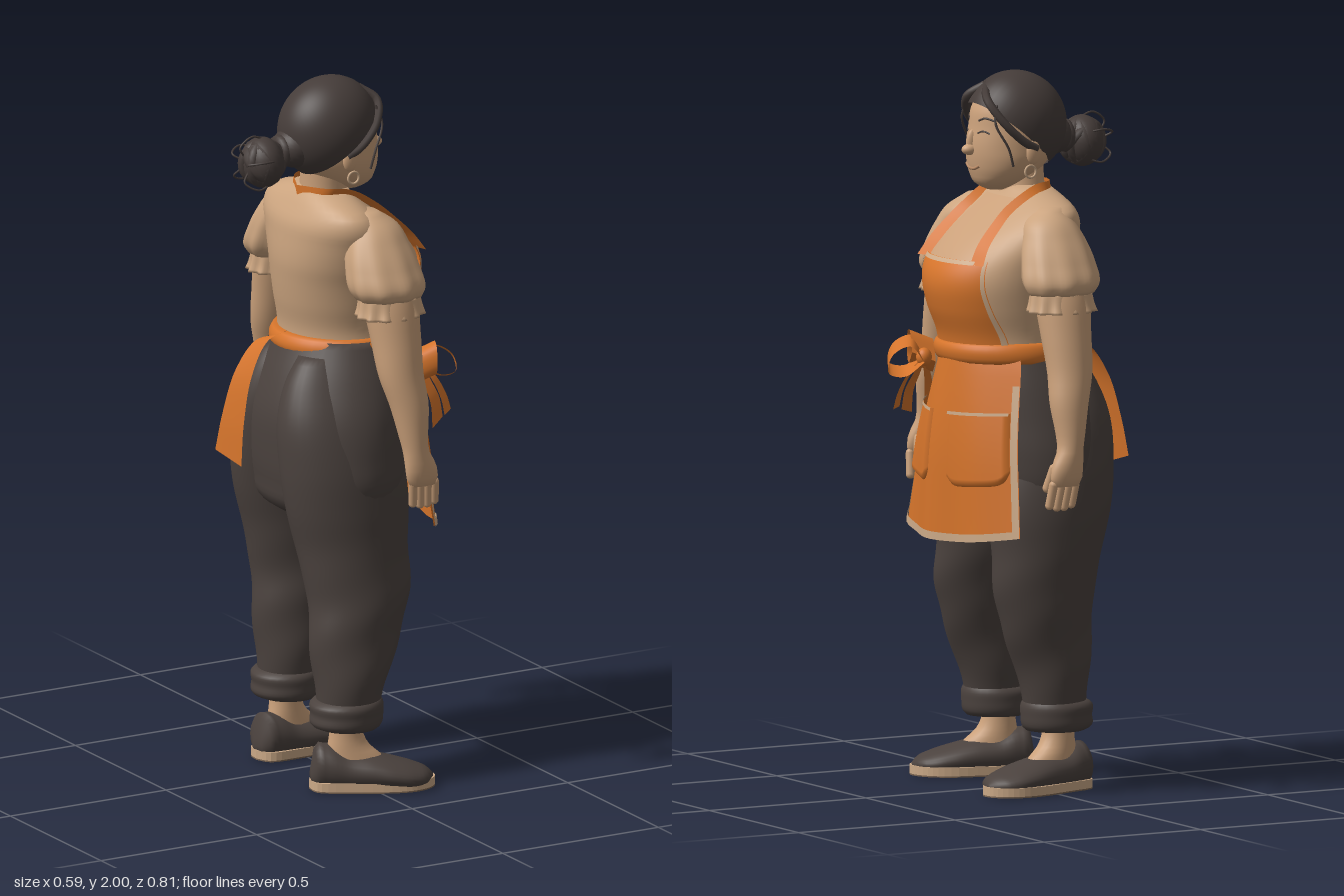
import * as THREE from 'three';

const M = (name, color, side = THREE.FrontSide) => {
  const m = new THREE.MeshStandardMaterial({ color, side });
  m.name = name;
  return m;
};
const V = (x, y, z) => new THREE.Vector3(x, y, z);
const lerp = THREE.MathUtils.lerp;

// Smooth cross-sections: each ring is [y, xBack, xFront, zCentre, zHalf], listed bottom to top
function section(rings) {
  const f = new THREE.CubicInterpolant(rings.map(r => r[0]), rings.flatMap(r => r.slice(1)), 4);
  return y => {
    const [a, b, cz, rz] = f.evaluate(y);
    return { cx: (a + b) / 2, rx: (b - a) / 2, cz, rz };
  };
}

// x of the front surface of a section at height y and depth z
function frontX(f, y, z) {
  const s = f(y), k = (z - s.cz) / s.rz;
  return s.cx + s.rx * Math.sqrt(Math.max(0, 1 - k * k));
}

function indexed(pos, idx) {
  const g = new THREE.BufferGeometry();
  g.setAttribute('position', new THREE.Float32BufferAttribute(pos, 3));
  g.setIndex(idx);
  g.computeVertexNormals();
  return g;
}

// Closed elliptical loft through the rings; ripple(y, angle) scales the radius
function loft(rings, rows = 28, seg = 32, ripple = () => 1) {
  const f = section(rings), y0 = rings[0][0], y1 = rings[rings.length - 1][0];
  const pos = [], idx = [];
  for (let i = 0; i <= rows; i++) {
    const y = lerp(y0, y1, i / rows), s = f(y);
    for (let j = 0; j < seg; j++) {
      const t = j / seg * Math.PI * 2, k = ripple(y, t);
      pos.push(s.cx + s.rx * k * Math.cos(t), y, s.cz + s.rz * k * Math.sin(t));
    }
  }
  const lo = pos.length / 3, a = f(y0);
  pos.push(a.cx, y0, a.cz);
  const b = f(y1);
  pos.push(b.cx, y1, b.cz);
  for (let j = 0; j < seg; j++) {
    const n = (j + 1) % seg, top = rows * seg;
    for (let i = 0; i < rows; i++) {
      const p = i * seg + j, q = i * seg + n;
      idx.push(p, p + seg, q, q, p + seg, q + seg);
    }
    idx.push(lo, j, n, lo + 1, top + n, top + j);
  }
  return indexed(pos, idx);
}

// Open sheet from a rule fn(u, v), both running 0..1
function sheet(fn, nu = 16, nv = 16) {
  const pos = [], idx = [];
  for (let i = 0; i <= nv; i++) for (let j = 0; j <= nu; j++) pos.push(...fn(j / nu, i / nv).toArray());
  for (let i = 0; i < nv; i++) for (let j = 0; j < nu; j++) {
    const a = i * (nu + 1) + j, c = a + nu + 1;
    idx.push(a, c, a + 1, a + 1, c, c + 1);
  }
  return indexed(pos, idx);
}

// Flat ribbon along a curve, its half-width vector running from w0 to w1
function ribbon(pts, w0, w1 = w0) {
  const c = new THREE.CatmullRomCurve3(pts);
  return sheet((u, v) => c.getPoint(v).addScaledVector(w0.clone().lerp(w1, v), u * 2 - 1), 2, 28);
}
const tube = (pts, r) => new THREE.TubeGeometry(new THREE.CatmullRomCurve3(pts), 20, r, 7);

export function createModel() {
  const model = new THREE.Group();
  const skin = M('skin', 0xcaa07a), blouse = M('blouse', 0xcba47f), chestSkin = M('chest skin', 0xcaa07a, 2);
  const orange = M('orange cloth', 0xd5742b, 2), trim = M('pale trim', 0xcba987, 2);
  const dark = M('dark trousers', 0x4b423e), hair = M('hair', 0x453c39, 2), outsole = M('outsole', 0x7a6451);
  const lip = M('lips', 0xb88a66);
  const add = (geo, mat, name, parent = model) => {
    const m = new THREE.Mesh(geo, mat);
    m.name = name;
    parent.add(m);
    return m;
  };
  const ball = (x, y, z, a, b, c, mat, name) => {
    const m = add(new THREE.SphereGeometry(1, 24, 18), mat, name);
    m.position.set(x, y, z);
    m.scale.set(a, b, c);
    return m;
  };

  // Torso, neck and bare chest
  const torsoRings = [[1.18, -.11, .23, -.01, .195], [1.28, -.105, .24, -.015, .182], [1.36, -.12, .268, -.01, .196],
    [1.43, -.13, .278, -.005, .21], [1.48, -.135, .262, 0, .222], [1.55, -.132, .2, 0, .238], [1.6, -.125, .14, 0, .244],
    [1.64, -.105, .09, .003, .218], [1.665, -.09, .065, .01, .155], [1.69, -.07, .05, .015, .08]];
  const torso = section(torsoRings);
  add(loft(torsoRings, 36, 40), blouse, 'blouse');
  add(loft([[1.62, -.075, .075, .015, .085], [1.68, -.07, .06, .02, .076], [1.77, -.07, .06, .03, .075]], 10), skin, 'neck');
  add(sheet((u, v) => {
    const y = lerp(1.49, 1.66, v), z = lerp(-.125, .105, u) * (1 - .2 * v);
    return V(frontX(torso, y, z) + .004, y, z);
  }), chestSkin, 'chest');

  // Trousers: hips, legs that run up into the seat, rolled cuffs
  add(loft([[.74, -.1, .1, 0, .15], [.78, -.16, .17, .005, .235], [.85, -.18, .2, .005, .277], [.95, -.19, .212, 0, .282],
    [1.05, -.188, .22, 0, .266], [1.15, -.16, .222, -.005, .235], [1.26, -.11, .21, -.01, .188]], 30, 40), dark, 'hips');
  const legs = [
    [[.2, -.125, .045, .215, .082], [.26, -.13, .055, .215, .09], [.35, -.142, .09, .21, .101], [.45, -.145, .13, .2, .106],
      [.55, -.142, .162, .185, .116], [.68, -.162, .17, .158, .128], [.8, -.187, .178, .147, .135], [.92, -.2, .165, .135, .136],
      [1.05, -.198, .13, .118, .118], [1.15, -.165, .1, .1, .09], [1.22, -.12, .06, .09, .06]],
    [[.2, -.11, .055, -.135, .082], [.26, -.115, .065, -.135, .09], [.35, -.125, .09, -.136, .1], [.45, -.13, .13, -.14, .106],
      [.55, -.13, .16, -.148, .114], [.68, -.155, .17, -.15, .126], [.8, -.185, .178, -.147, .135], [.92, -.2, .165, -.135, .136],
      [1.05, -.198, .13, -.118, .118], [1.15, -.165, .1, -.1, .09], [1.22, -.12, .06, -.09, .06]],
  ];
  legs.forEach((r, i) => {
    const [, b, f, cz, rz] = r[0];
    add(loft(r, 52, 36, (y, t) => 1 + .018 * Math.sin(y * 34 + t * 2) * THREE.MathUtils.clamp((.75 - y) / .25, 0, 1)), dark, 'trouserLeg');
    add(loft([[.172, b, f, cz, rz], [.18, b - .018, f + .008, cz, rz + .01], [.215, b - .022, f + .014, cz, rz + .016],
      [.248, b - .02, f + .012, cz, rz + .013], [.258, b, f + .005, cz, rz]], 12), dark, 'cuff');

    // Foot: ankle, slip-on upper, pale sole
    const foot = new THREE.Group();
    foot.name = 'foot';
    foot.position.set(i ? -.035 : -.055, 0, i ? -.135 : .235);
    foot.rotation.y = i ? .14 : -.4;
    model.add(foot);
    add(loft([[.04, -.07, .12, 0, .05], [.09, -.062, .1, 0, .047], [.125, -.055, .062, 0, .044],
      [.16, -.05, .045, 0, .042], [.24, -.05, .045, 0, .045]], 14, 24), skin, 'ankle', foot);
    const upper = loft([[-.102, -.06, -.02, 0, .02], [-.094, -.11, -.01, 0, .042], [-.06, -.13, 0, 0, .058], [0, -.108, 0, 0, .068],
      [.07, -.1, 0, .002, .08], [.13, -.085, 0, .004, .085], [.19, -.066, 0, .004, .074], [.225, -.05, -.01, .002, .046],
      [.24, -.035, -.015, 0, .012]], 30, 28);
    upper.rotateZ(-Math.PI / 2);
    add(upper, dark, 'shoe', foot);
    const outline = new THREE.Shape(new THREE.SplineCurve([[-.106, 0], [-.085, .048], [0, .066], [.12, .085], [.195, .07], [.24, .025],
      [.24, -.025], [.195, -.066], [.12, -.078], [0, -.066], [-.085, -.048], [-.106, 0]].map(p => new THREE.Vector2(...p))).getPoints(48));
    [[.024, .005, trim, 'sole'], [.004, .001, outsole, 'outsole']].forEach(([depth, y, mat, name]) => {
      const g = new THREE.ExtrudeGeometry(outline, { depth, bevelEnabled: false });
      g.rotateX(-Math.PI / 2).translate(0, y, 0);
      add(g, mat, name, foot);
    });
  });

  // Arms with hands, puffed sleeves with ruffled hems
  for (const s of [1, -1]) {
    const d = s > 0 ? 0 : -.03;
    const arm = rings => rings.map(([y, b, f, cz, rz]) => [y, b + d, f + d, s * cz, rz]);
    add(loft(arm([[.89, .066, .146, .378, .016], [.91, .056, .152, .378, .023], [.95, .052, .145, .376, .029], [.99, .05, .125, .37, .034],
      [1.03, .042, .125, .364, .039], [1.12, .022, .135, .348, .049], [1.2, 0, .13, .328, .056], [1.3, -.01, .135, .303, .064],
      [1.42, -.02, .14, .27, .07], [1.55, -.01, .13, .22, .06]])), skin, 'arm');
    for (let i = 0; i < 4; i++) {
      const finger = add(new THREE.CapsuleGeometry(.0125, .06, 4, 10), skin, 'finger');
      finger.position.set(.078 + i * .023 + d, .866 - (i % 3 ? .006 : 0), s * .37);
      finger.rotation.set(s * .2, 0, .1);
    }
    const thumb = add(new THREE.CapsuleGeometry(.014, .06, 4, 10), skin, 'thumb');
    thumb.position.set(.135 + d, .91, s * .345);
    thumb.rotation.set(s * .3, 0, .2);
    add(loft(arm([[1.415, -.035, .155, .27, .072], [1.44, -.052, .168, .266, .086], [1.5, -.052, .162, .242, .086], [1.56, -.038, .145, .215, .078],
      [1.61, -.015, .12, .19, .066], [1.645, .01, .07, .175, .035]]), 24, 54,
      (y, t) => 1 + .035 * Math.cos(t * 9) * Math.max(0, (1.62 - y) / .2)), blouse, 'puffSleeve');
    add(loft(arm([[1.365, -.04, .16, .275, .077], [1.385, -.034, .155, .273, .073], [1.42, -.03, .15, .27, .07]]), 8, 72,
      (y, t) => 1 + .06 * Math.cos(t * 12) * (1.43 - y) / .06), blouse, 'sleeveRuffle');
  }

  // Apron bib with pale edges
  const bib = (u0, u1, v0, v1, off) => sheet((u, v) => {
    const k = lerp(v0, v1, v), y = lerp(1.2, 1.5, k);
    const z = lerp(-.188 + .025 * k, .162 - .02 * k, lerp(u0, u1, u));
    return V(frontX(torso, y, z) + off, y, z);
  }, 24, 24);
  add(bib(0, 1, 0, 1, .013), orange, 'apronBib');
  add(bib(0, 1, .965, 1, .016), trim, 'bibEdge');
  add(bib(0, .025, 0, 1, .016), trim, 'bibEdge');
  add(bib(.975, 1, 0, 1, .016), trim, 'bibEdge');
  // Neck straps
  for (const [z0, z1] of [[.122, .112], [-.145, -.108]]) {
    const pts = [1.49, 1.54, 1.59, 1.635].map((y, i) => {
      const z = lerp(z0, z1, i / 3);
      return V(frontX(torso, y, z) + .02, y, z);
    });
    const e = z1 > 0 ? 1 : -1;
    pts.push(V(.015, 1.685, .01 + e * .113), V(-.045, 1.688, .015 + e * .09), V(-.088, 1.68, .015));
    add(ribbon(pts, V(.008, 0, .023), V(0, .015, 0)), orange, 'neckStrap');
  }

  // Apron skirt, pockets, edging
  const skirt = (u, v, off) => {
    const half = .185 + .12 * Math.pow(v, .75);
    const x = .252 + .031 * Math.sin(Math.min(1, v * 1.6) * Math.PI / 2) - (.13 - .03 * v) * u * u + .005 * v * Math.sin(9 * u + 1);
    return V(x + off, 1.23 - .49 * v - .03 * (1 - u * u) * v, u * half + lerp(-.02, .005, v) + off * .6 * u);
  };
  const patch = (u0, u1, v0, v1, off, name, mat, round = 0) => add(sheet((u, v) => {
    const rim = round && (u === 0 || u === 1 || v === 1);
    return skirt(lerp(u0, u1, u), lerp(v0, v1 - round * Math.pow(Math.abs(2 * u - 1), 8), v), rim ? .001 : off);
  }, 24, 20), mat, name);
  patch(-1, 1, 0, 1, 0, 'apronSkirt', orange);
  patch(-1, 1, .958, 1, .004, 'hemEdge', trim);
  patch(-1, -.94, .15, 1, .004, 'sideEdge', trim);
  patch(.94, 1, .15, 1, .004, 'sideEdge', trim);
  for (const [a, b] of [[.12, .88], [-.93, -.22]]) {
    patch(a, b, .3, .7, .01, 'pocket', orange, .07);
    patch(a, b, .295, .312, .012, 'pocketEdge', trim);
  }

  // Waistband, side bow and trailing tie
  add(loft([[1.212, -.116, .25, -.015, .196], [1.22, -.125, .256, -.015, .201], [1.26, -.12, .256, -.015, .194], [1.268, -.11, .246, -.015, .186]],
    8, 40), orange, 'waistband');
  const knot = V(.2, 1.19, .2);
  ball(knot.x, knot.y, knot.z, .022, .026, .022, orange, 'bowKnot');
  const bowPart = (pts, w0, w1) => add(ribbon(pts.map(p => V(...p).add(knot)), w0, w1), orange, 'bow');
  bowPart([[0, 0, 0], [.03, .045, .02], [.075, .02, .045], [.085, -.03, .05], [.045, -.04, .03], [0, 0, 0]], V(-.016, .012, .03));
  bowPart([[0, 0, 0], [-.015, .055, .04], [-.03, .045, .08], [-.035, -.02, .09], [-.015, -.035, .045], [0, 0, 0]], V(.032, .014, .01));
  bowPart([[0, 0, 0], [.03, -.05, .03], [.05, -.1, .045], [.06, -.145, .05]], V(.01, 0, -.008), V(.024, 0, -.024));
  bowPart([[0, 0, 0], [.0, -.05, .04], [.01, -.1, .065], [.01, -.16, .08]], V(.01, 0, -.006), V(.028, .008, -.02));
  bowPart([[0, 0, 0], [-.04, -.06, .05], [-.06, -.12, .075], [-.07, -.18, .082]], V(.01, 0, -.006), V(.026, 0, -.012));
  add(ribbon([V(-.11, 1.262, -.02), V(-.165, 1.24, -.045), V(-.215, 1.15, -.06), V(-.243, 1.02, -.07), V(-.256, .905, -.075)],
    V(-.004, .012, .024), V(.014, -.015, .048)), orange, 'trailingTie');

  // Head and face
  const zc = .03;
  const headRings = [[1.675, .045, .095, zc, .03], [1.69, 0, .124, zc, .06], [1.72, -.05, .14, zc, .09], [1.76, -.09, .148, zc, .107],
    [1.8, -.11, .149, zc, .11], [1.85, -.12, .142, zc, .109], [1.91, -.11, .13, zc, .1], [1.955, -.07, .095, zc, .07], [1.975, -.02, .04, zc, .03]];
  const head = section(headRings);
  const onFace = (y, z, off = 0) => V(frontX(head, y, zc + z) + off, y, zc + z);
  add(loft(headRings, 32, 36), skin, 'head');
  ball(.15, 1.79, zc, .025, .016, .018, skin, 'noseTip');
  ball(.141, 1.812, zc, .018, .034, .011, skin, 'noseBridge');
  add(tube([-.036, -.015, .015, .036].map(z => onFace(1.736 + z * z * 9, z)), .0045), lip, 'mouth');
  for (const s of [1, -1]) {
    add(tube([.025, .045, .072].map((z, i) => onFace(1.872 + (i === 1 ? .008 : 0), s * z)), .003), hair, 'eyebrow');
    add(tube([.027, .043, .062].map((z, i) => onFace(1.838 + (i === 1 ? .006 : 0), s * z)), .0025), hair, 'eyelash');
    ball(.01, 1.785, zc + s * .11, .022, .034, .012, skin, 'ear');
    const hoop = add(new THREE.TorusGeometry(.017, .0035, 8, 20), trim, 'earring');
    hoop.position.set(.02, 1.732, zc + s * .112);
    // Swept front locks and loose strands, parted off centre
    add(tube([V(.085, 1.965, zc + .025), V(.126, 1.93, zc + s * .06), V(.1, 1.875, zc + s * .1), V(.045, 1.82, zc + s * .114),
      V(.0, 1.795, zc + s * .112)], .012), hair, 'frontLock');
    add(tube([V(.11, 1.92, zc + s * .08), V(.122, 1.87, zc + s * .095), V(.09, 1.8, zc + s * .113), V(.075, 1.75, zc + s * .112)], .0035), hair, 'strand');
  }

  // Hair cap, gathered tail and bun
  const cap = new THREE.SphereGeometry(1, 40, 28, 0, Math.PI * 2, 0, Math.PI * .59);
  cap.scale(.149, .142, .125).rotateZ(.7).translate(0, 1.857, .035);
  add(cap, hair, 'hairCap');
  ball(-.11, 1.815, .037, .06, .058, .065, hair, 'gatheredHair');
  const tie = add(new THREE.TorusGeometry(.03, .018, 10, 24), hair, 'hairTie');
  tie.position.set(-.155, 1.808, .038);
  tie.rotation.y = Math.PI / 2;
  ball(-.216, 1.788, .045, .058, .072, .07, hair, 'bun');
  for (let i = 0; i < 5; i++) {
    const coil = add(new THREE.TorusGeometry(.054, .016, 8, 28), hair, 'bunCoil');
    coil.position.set(-.216, 1.788, .045);
    coil.rotation.set(i * .8, .5 + i * .75, 0);
  }
  for (let i = 0; i < 5; i++) {
    const a = i * 1.3, c = Math.cos(a), n = Math.sin(a);
    add(tube([V(-.2, 1.788 + c * .06, .045 + n * .06), V(-.25, 1.788 + c * .078, .045 + n * .078), V(-.288, 1.788 + c * .05, .045 + n * .05),
      V(-.27, 1.788 + c * .02, .045 + n * .03)], .003), hair, 'bunWisp');
  }
  return model;
}
